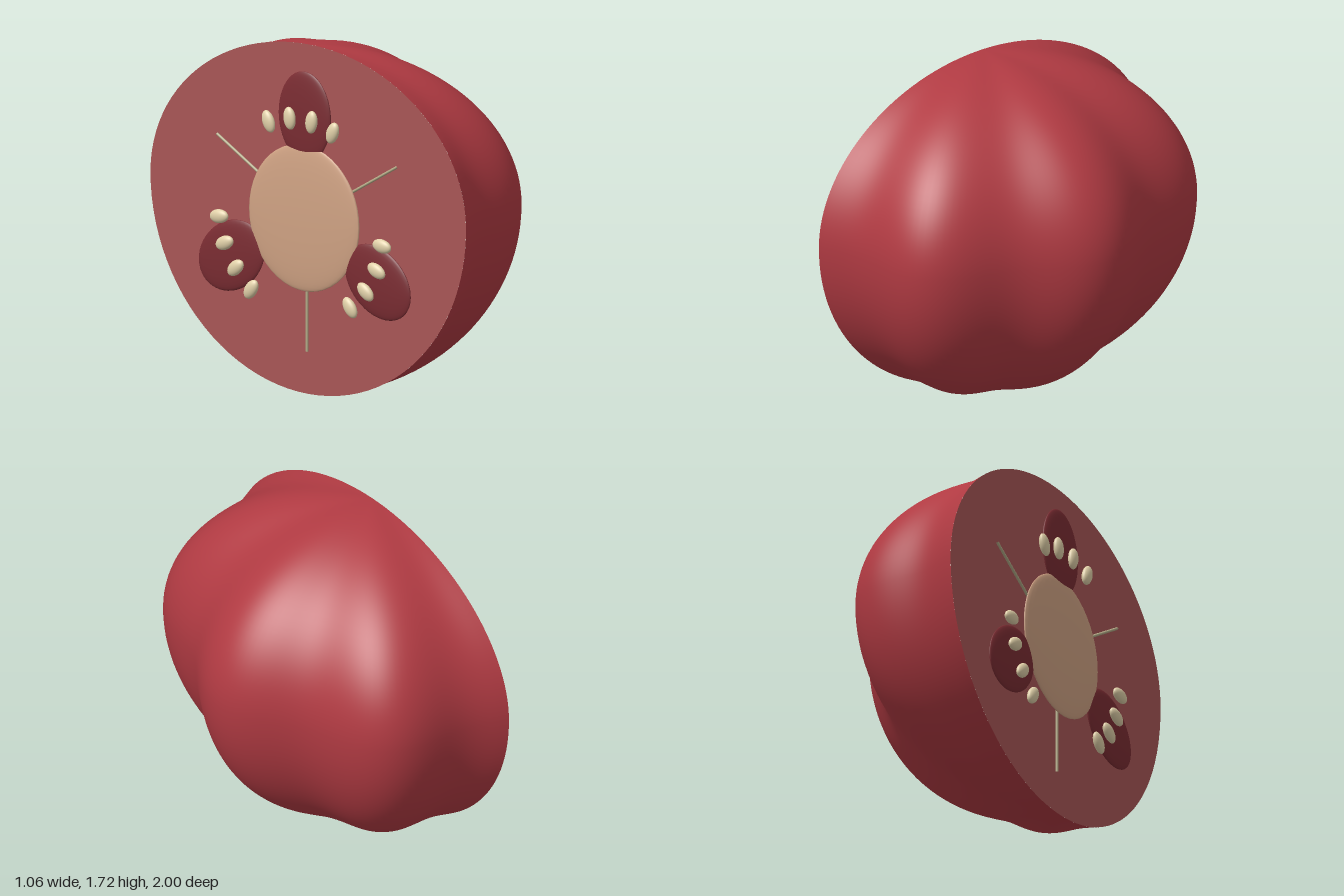
import * as THREE from 'three';

const mat = (name, color) => {
  const m = new THREE.MeshStandardMaterial({ color });
  m.name = name;
  return m;
};

const CUT_X = -0.453;   // plane of the cut face
const EQUATOR = 0.95;   // height of the widest ring
const HUB_Y = 0.87;     // centre of the pattern on the cut face
const heightAt = (v) => EQUATOR + v * (v > 0 ? 0.77 : 0.95);

export function createModel() {
  const group = new THREE.Group();
  const skin = mat('skin red', 0xb03a42);
  const flesh = mat('flesh red', 0xa85656);
  const pulp = mat('dark pulp', 0x7a2c32);
  const coreTan = mat('core tan', 0xcfa283);
  const seedCream = mat('seed cream', 0xe0d0a8);
  const fibre = mat('fibre olive', 0xb4ac88);

  const add = (name, geometry, material) => {
    const mesh = new THREE.Mesh(geometry, material);
    mesh.name = name;
    group.add(mesh);
    return mesh;
  };

  // Half fruit with seven lobes running around the vertical axis
  const body = new THREE.SphereGeometry(1, 96, 64, Math.PI / 2, Math.PI);
  const p = body.attributes.position;
  for (let i = 0; i < p.count; i++) {
    const x = p.getX(i), z = p.getZ(i);
    const lobe = 1 + 0.055 * Math.cos(7 * Math.atan2(z, x));
    p.setXYZ(i, CUT_X + x * lobe * 0.932, heightAt(p.getY(i)), z * lobe);
  }
  body.computeVertexNormals();
  add('fruitSkin', body, skin);

  // Flat cut face
  const cut = new THREE.CircleGeometry(1, 96);
  const c = cut.attributes.position;
  for (let i = 0; i < c.count; i++) c.setY(i, heightAt(c.getY(i)));
  cut.rotateY(-Math.PI / 2);
  add('cutFace', cut, flesh).position.x = CUT_X;

  // Flattened ellipsoid on the cut face; angle runs from +y towards +z
  const ball = new THREE.SphereGeometry(1, 32, 24);
  const pip = (name, material, x, angle, ry, rz, depth, long, wide) => {
    const mesh = add(name, ball, material);
    mesh.position.set(x, HUB_Y + ry * Math.cos(angle), rz * Math.sin(angle));
    mesh.rotation.x = angle;
    mesh.scale.set(depth, long, wide);
  };

  pip('core', coreTan, -0.482, 0, 0, 0, 0.026, 0.36, 0.35);

  for (let k = 0; k < 3; k++) {
    const angle = (k * Math.PI * 2) / 3;
    // Seed chamber with an arc of four seeds
    pip('seedChamber', pulp, -0.478, angle, 0.5, 0.535, 0.023, 0.22, 0.165);
    for (let s = -1.5; s <= 1.5; s++) {
      pip('seed', seedCream, -0.51, angle + s * 0.267, 0.49, 0.52, 0.022, 0.056, 0.034);
    }
    // Thin fibre between neighbouring chambers
    const a = angle + Math.PI / 3;
    const at = (r) => new THREE.Vector3(-0.461, HUB_Y + r * Math.cos(a), r * Math.sin(a));
    add('fibre', new THREE.TubeGeometry(new THREE.LineCurve3(at(0.3), at(0.66)), 1, 0.007, 8), fibre);
  }
  return group;
}
